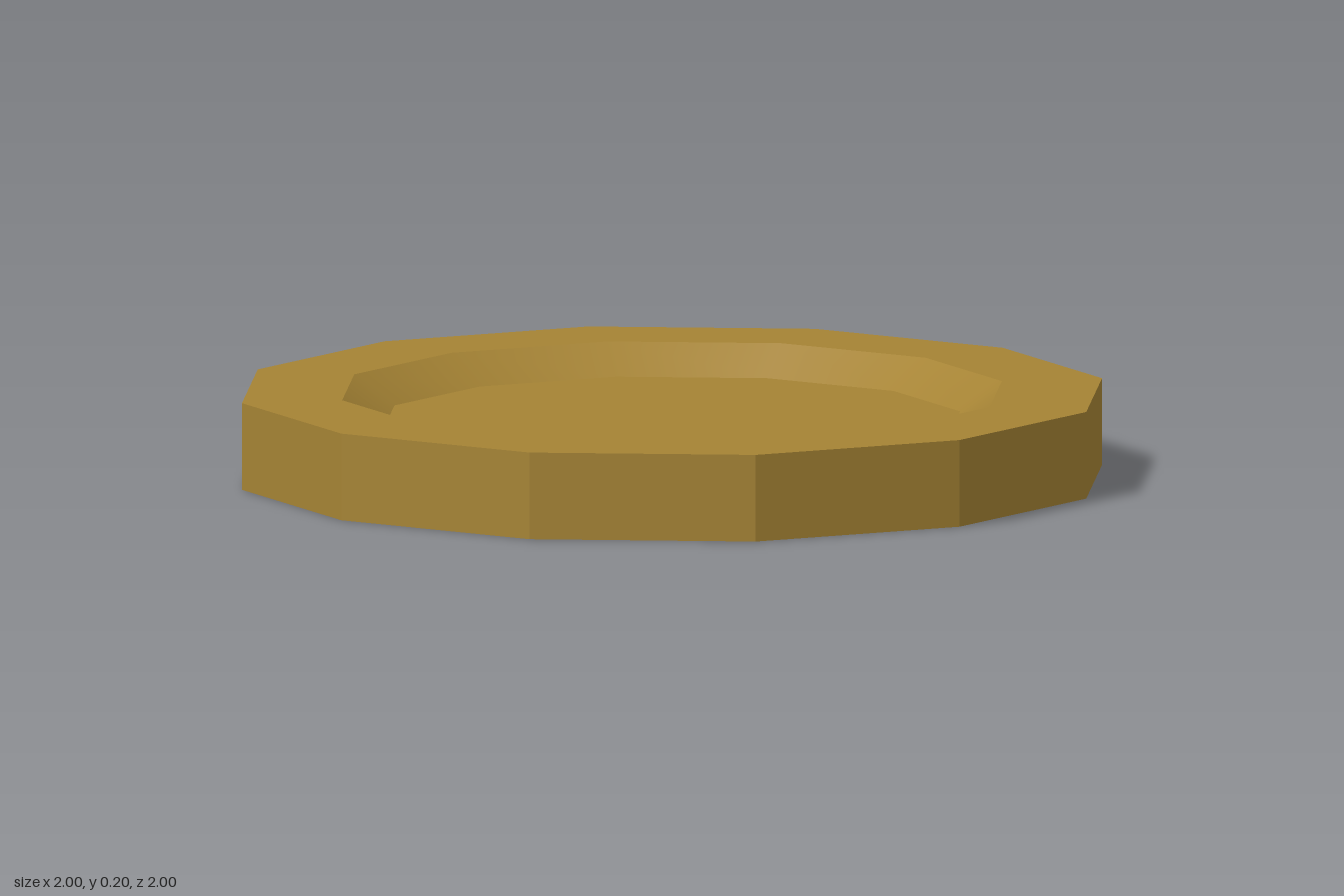
import * as THREE from 'three';

const SIDES = 12;

export function createModel() {
  const plate = new THREE.Group();
  plate.name = 'plate';
  const brass = new THREE.MeshStandardMaterial({ color: 0xa58334 });
  brass.name = 'brass';

  // One faceted ring of the turned profile, from point a to point b as [radius, y]
  function band(name, a, b, smooth = false) {
    let geometry = new THREE.LatheGeometry(
      [new THREE.Vector2(...a), new THREE.Vector2(...b)], SIDES);
    if (!smooth) {
      geometry = geometry.toNonIndexed();
      geometry.computeVertexNormals();
    }
    const mesh = new THREE.Mesh(geometry, brass);
    mesh.name = name;
    plate.add(mesh);
  }

  // Flat disc closing a recess, facing up (1) or down (-1)
  function disc(name, radius, y, facing) {
    const mesh = new THREE.Mesh(new THREE.CircleGeometry(radius, SIDES), brass);
    mesh.rotation.x = -facing * Math.PI / 2;
    mesh.position.y = y;
    mesh.name = name;
    plate.add(mesh);
  }

  const outer = 1, lip = 0.767, floor = 0.67;
  const height = 0.2, lowFloor = 0.067, highFloor = 0.133;

  // Underside recess, outer wall and top recess, in profile order
  disc('undersideFloor', floor, lowFloor, -1);
  band('undersideSlope', [floor, lowFloor], [lip, 0]);
  band('foot', [lip, 0], [outer, 0]);
  band('outerWall', [outer, 0], [outer, height]);
  band('rim', [outer, height], [lip, height]);
  band('topSlope', [lip, height], [floor, highFloor], true);
  disc('topFloor', floor, highFloor, 1);

  return plate;
}
